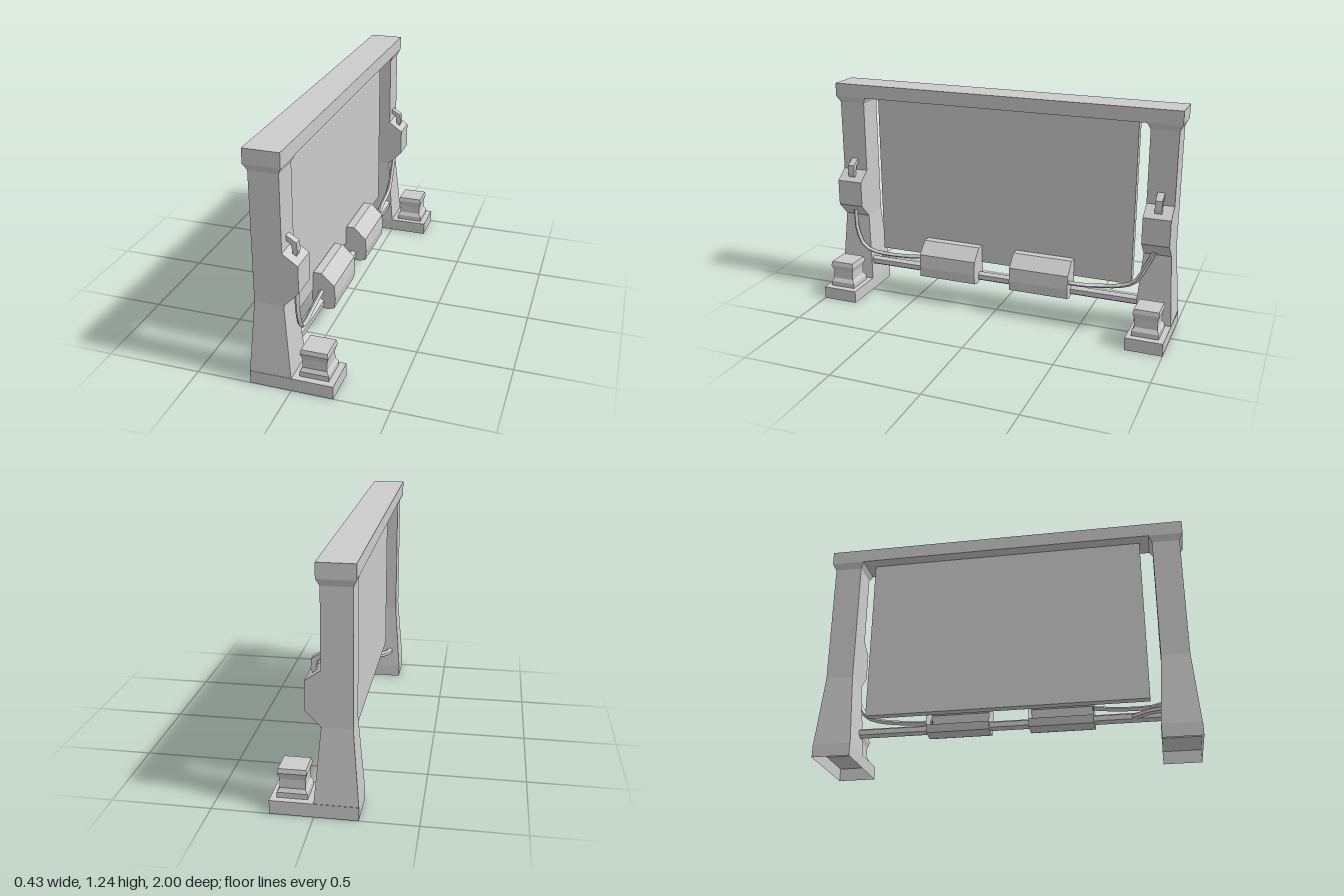
import * as THREE from 'three';

const solid = new THREE.MeshStandardMaterial({ color: 0xcccccc, flatShading: true });
const shell = new THREE.MeshStandardMaterial({ color: 0xcccccc, flatShading: true, side: THREE.DoubleSide });

function add(parent, name, geometry, material = solid) {
  const mesh = new THREE.Mesh(geometry, material);
  mesh.name = name;
  parent.add(mesh);
}

// Flat-sided geometry from a list of quads, corners counter-clockwise
function fromQuads(quads) {
  const pos = [];
  for (const [a, b, c, d] of quads) pos.push(...a, ...b, ...c, ...a, ...c, ...d);
  const g = new THREE.BufferGeometry();
  g.setAttribute('position', new THREE.Float32BufferAttribute(pos, 3));
  g.computeVertexNormals();
  return g;
}

// Stack of rectangles, each [y, xMin, xMax, halfDepth], centred on z = zc
function loft(sections, zc, capped) {
  const rings = sections.map(([y, x0, x1, h]) => [
    [x0, y, zc + h], [x1, y, zc + h], [x1, y, zc - h], [x0, y, zc - h],
  ]);
  const quads = [];
  for (let i = 0; i < rings.length - 1; i++) {
    for (let k = 0; k < 4; k++) {
      const n = (k + 1) % 4;
      quads.push([rings[i][k], rings[i][n], rings[i + 1][n], rings[i + 1][k]]);
    }
  }
  if (capped) quads.push(rings[rings.length - 1], [...rings[0]].reverse());
  return fromQuads(quads);
}

const outline = (points) => new THREE.Shape(points.map(([x, y]) => new THREE.Vector2(x, y)));

// Side profile in x and y, extruded along z around zc
function slab(points, zc, depth) {
  const g = new THREE.ExtrudeGeometry(outline(points), { depth, bevelEnabled: false });
  return g.translate(0, 0, zc - depth / 2);
}

function box(x0, x1, y0, y1, z0, z1) {
  return new THREE.BoxGeometry(x1 - x0, y1 - y0, z1 - z0)
    .translate((x0 + x1) / 2, (y0 + y1) / 2, (z0 + z1) / 2);
}

function tube(points, segments, radius, sides) {
  const path = new THREE.CatmullRomCurve3(points.map((p) => new THREE.Vector3(...p)));
  return new THREE.TubeGeometry(path, segments, radius, sides);
}

export function createModel() {
  const model = new THREE.Group();
  model.name = 'barrierGate';

  // Top beam and hanging panel
  add(model, 'topBeam', box(-0.2, -0.018, 1.165, 1.24, -0.99, 0.99));
  add(model, 'panel', box(-0.13, -0.082, 0.245, 1.165, -0.755, 0.755));

  // Lower pipe between the posts, with a short branch bending back into one post
  const pipe = new THREE.CylinderGeometry(0.027, 0.027, 1.61, 6).rotateX(Math.PI / 2);
  add(model, 'lowerPipe', pipe.translate(-0.045, 0.175, 0));
  add(model, 'pipeBranch', tube([
    [-0.05, 0.175, 0.66], [-0.1, 0.172, 0.71], [-0.14, 0.17, 0.76], [-0.155, 0.17, 0.815],
  ], 6, 0.018, 6), shell);

  // Faceted housings round the pipe, open at the back against the panel
  const housing = [
    [-0.09, 0.19], [-0.075, 0.15], [0.0, 0.14], [0.035, 0.152],
    [0.042, 0.21], [0.036, 0.285], [-0.033, 0.35], [-0.078, 0.35], [-0.09, 0.29],
  ];
  for (const z of [0.29, -0.26]) {
    const group = new THREE.Group();
    group.name = 'pipeHousing';
    model.add(group);
    const [zf, zb] = [z + 0.17, z - 0.17];
    add(group, 'housingCover', fromQuads(housing.slice(1).map(([x, y], i) => {
      const [px, py] = housing[i];
      return [[px, py, zf], [px, py, zb], [x, y, zb], [x, y, zf]];
    })), shell);
    for (const end of [zf, zb]) {
      add(group, 'housingEnd', new THREE.ShapeGeometry(outline(housing)).translate(0, 0, end), shell);
    }
  }

  for (const s of [1, -1]) {
    const side = new THREE.Group();
    side.name = s > 0 ? 'frontPost' : 'rearPost';
    model.add(side);
    const z = s * 0.8975;

    // Hollow foot, open underneath and into the post
    add(side, 'foot', loft([[0, -0.215, 0.215, 0.101], [0.07, -0.215, 0.215, 0.101]], s * 0.899, false), shell);
    const plate = new THREE.PlaneGeometry(0.215, 0.202).rotateX(-Math.PI / 2);
    add(side, 'footTop', plate.translate(0.1075, 0.07, s * 0.899), shell);

    // Hollow post: splayed base, straight shaft, flared head
    add(side, 'post', loft([
      [0.07, -0.215, 0, 0.101],
      [0.455, -0.184, -0.035, 0.074],
      [1.13, -0.184, -0.035, 0.074],
      [1.165, -0.2, -0.018, 0.091],
    ], z, false), shell);

    // Faceted control box on the inner face of the post
    add(side, 'controlBox', slab([
      [-0.036, 0.455], [0.042, 0.535], [0.042, 0.68], [-0.036, 0.735],
    ], z, 0.148));

    // Bent strap from post to control box
    add(side, 'strap', slab([
      [-0.037, 0.803], [-0.037, 0.777], [-0.013, 0.762], [-0.004, 0.725], [-0.01, 0.7],
      [0.01, 0.69], [0.021, 0.722], [0.017, 0.77],
    ], z, 0.038));

    // Waisted block standing on the foot
    add(side, 'footBlock', loft([
      [0.073, 0.033, 0.183, 0.073],
      [0.1, 0.033, 0.183, 0.073],
      [0.12, 0.046, 0.17, 0.061],
      [0.167, 0.046, 0.17, 0.061],
      [0.2, 0.036, 0.18, 0.071],
      [0.223, 0.041, 0.175, 0.066],
    ], s * 0.897, true));
  }

  // Cables from the control boxes to the housings
  const cables = [
    [[0.0, 0.5, 0.89], [0.0, 0.38, 0.885], [-0.002, 0.28, 0.845], [-0.01, 0.245, 0.78],
      [-0.03, 0.232, 0.6], [-0.035, 0.245, 0.45]],
    [[-0.02, 0.475, -0.885], [-0.022, 0.39, -0.845], [-0.022, 0.29, -0.79], [-0.03, 0.25, -0.71],
      [-0.025, 0.234, -0.6], [0.005, 0.236, -0.5], [0.012, 0.24, -0.42]],
  ];
  for (const points of cables) add(model, 'cable', tube(points, 12, 0.013, 4), shell);
  return model;
}
